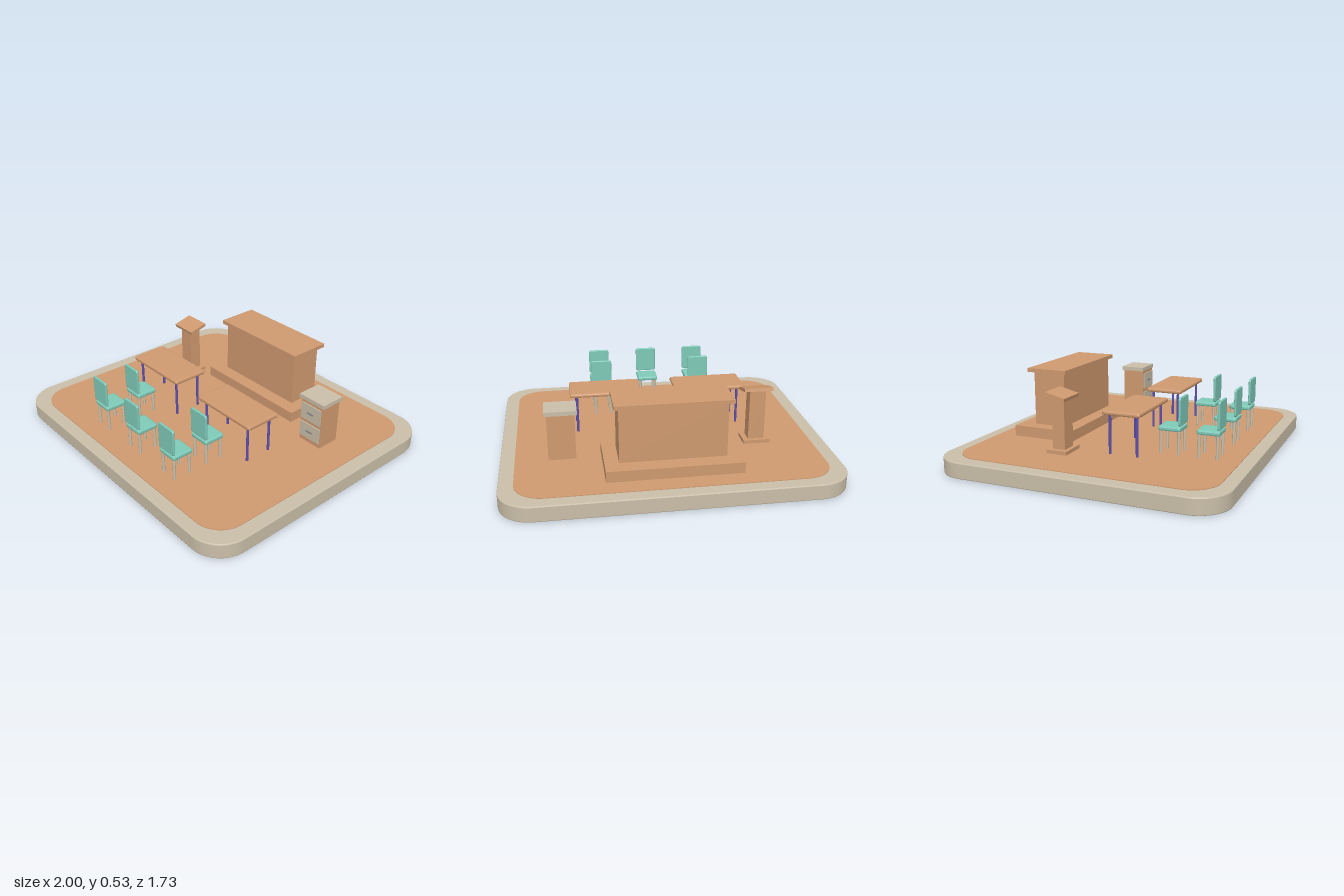
import * as THREE from 'three';

const mat = (name, color) => Object.assign(new THREE.MeshStandardMaterial({ color }), { name });

// Horizontal slab with rounded corners and bevelled edges, bottom at y = 0
function slabGeometry(w, h, d, r, b) {
  const x = w / 2 - b, y = d / 2 - b;
  const s = new THREE.Shape();
  s.moveTo(-x + r, -y);
  s.lineTo(x - r, -y);
  s.absarc(x - r, -y + r, r, -Math.PI / 2, 0);
  s.absarc(x - r, y - r, r, 0, Math.PI / 2);
  s.absarc(-x + r, y - r, r, Math.PI / 2, Math.PI);
  s.absarc(-x + r, -y + r, r, Math.PI, Math.PI * 1.5);
  const g = new THREE.ExtrudeGeometry(s, {
    depth: h - 2 * b, bevelEnabled: b > 0, bevelThickness: b, bevelSize: b, bevelSegments: 2, curveSegments: 8,
  });
  return g.translate(0, 0, b).rotateX(-Math.PI / 2);
}

export function createModel() {
  const model = new THREE.Group();
  model.name = 'courtroom';
  const wood = mat('wood', 0xd09a70);
  const stone = mat('stone', 0xcbbfa9);
  const teal = mat('teal', 0x7fcbb9);
  const purple = mat('purple', 0x5c4fae);
  const metal = mat('metal', 0x8b8d92);

  const add = (parent, name, geometry, material, x = 0, y = 0, z = 0) => {
    const m = new THREE.Mesh(geometry, material);
    m.name = name;
    m.position.set(x, y, z);
    parent.add(m);
    return m;
  };
  // Box given by its bounds
  const box = (parent, name, material, x0, x1, y0, y1, z0, z1) =>
    add(parent, name, new THREE.BoxGeometry(x1 - x0, y1 - y0, z1 - z0), material,
      (x0 + x1) / 2, (y0 + y1) / 2, (z0 + z1) / 2);
  const group = (name, x = 0, y = 0, z = 0) => {
    const g = new THREE.Group();
    g.name = name;
    g.position.set(x, y, z);
    model.add(g);
    return g;
  };
  // Four round legs at the corners of a rectangle
  const legs = (parent, material, dx, dz, h, r) => {
    const geo = new THREE.CylinderGeometry(r, r, h, 12);
    for (const sx of [-1, 1]) for (const sz of [-1, 1]) add(parent, 'leg', geo, material, sx * dx, h / 2, sz * dz);
  };

  // Base and floor
  const FLOOR = 0.1;
  add(model, 'base', slabGeometry(2, 0.096, 1.73, 0.19, 0.006), stone);
  add(model, 'floor', slabGeometry(1.826, 0.01, 1.57, 0.17, 0), wood, 0, FLOOR - 0.01, 0);

  // Bench on its platform
  const bench = group('bench');
  box(bench, 'platform', wood, -0.4, 0.4, FLOOR, 0.167, -0.67, -0.272);
  box(bench, 'benchBody', wood, -0.315, 0.315, 0.167, 0.504, -0.57, -0.36);
  box(bench, 'benchTop', wood, -0.342, 0.342, 0.504, 0.528, -0.603, -0.337);

  // Lectern with a sloping top
  const lectern = group('lectern', -0.57, FLOOR, -0.235);
  box(lectern, 'lecternFoot', wood, -0.083, 0.083, 0, 0.022, -0.065, 0.065);
  box(lectern, 'lecternColumn', wood, -0.05, 0.05, 0.022, 0.335, -0.04, 0.04);
  const slope = box(lectern, 'lecternTop', wood, -0.089, 0.089, 0.33, 0.35, -0.064, 0.064);
  slope.rotation.x = 0.24;

  // Filing cabinet
  const cabinet = group('cabinet');
  box(cabinet, 'cabinetBody', wood, 0.55, 0.715, FLOOR, 0.384, -0.343, -0.194);
  box(cabinet, 'cabinetTop', stone, 0.535, 0.728, 0.384, 0.41, -0.352, -0.188);
  for (const [y0, y1] of [[0.13, 0.232], [0.255, 0.365]]) {
    const y = (y0 + y1) / 2;
    box(cabinet, 'drawer', stone, 0.555, 0.71, y0, y1, -0.194, -0.187);
    box(cabinet, 'handle', metal, 0.608, 0.654, y - 0.005, y + 0.005, -0.187, -0.18);
  }

  // Two tables
  const tableTop = slabGeometry(0.456, 0.026, 0.236, 0.006, 0.009);
  for (const side of [-1, 1]) {
    const table = group('table', side * 0.336, FLOOR, 0.132);
    add(table, 'tableTop', tableTop, wood, 0, 0.24, 0);
    legs(table, purple, 0.184, 0.085, 0.242, 0.008);
  }

  // Chairs: two behind the tables and three in the rear row
  const seat = slabGeometry(0.138, 0.027, 0.138, 0.006, 0.008);
  const back = slabGeometry(0.138, 0.015, 0.167, 0.01, 0.005).rotateX(Math.PI / 2);
  for (const [x, z] of [[-0.335, 0.365], [0.335, 0.365], [-0.335, 0.597], [0, 0.597], [0.335, 0.597]]) {
    const chair = group('chair', x, FLOOR, z);
    add(chair, 'seat', seat, teal, 0, 0.139, 0);
    add(chair, 'backrest', back, teal, 0, 0.256, 0.054);
    legs(chair, stone, 0.051, 0.054, 0.14, 0.009);
  }
  return model;
}
